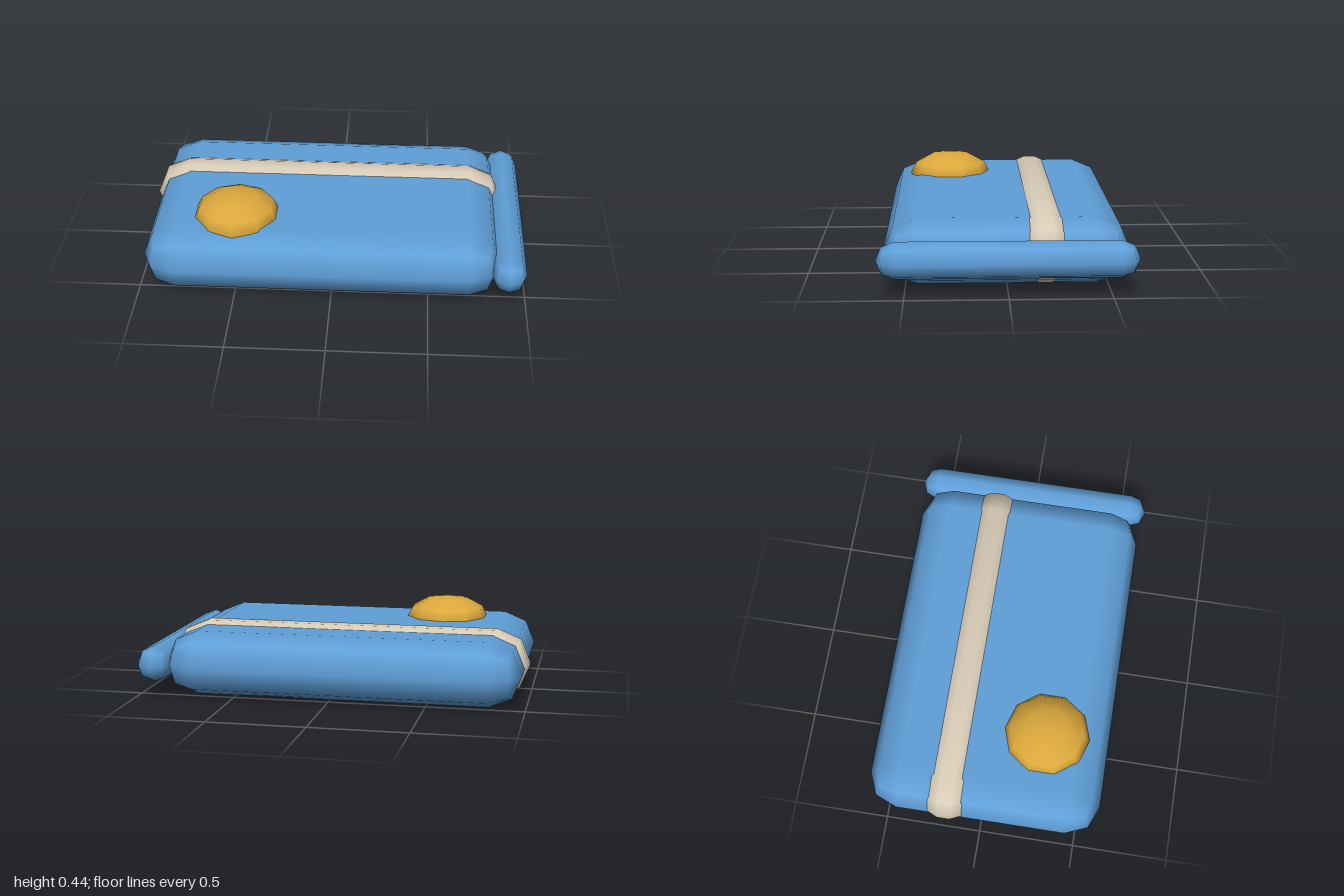
import * as THREE from 'three';
import { toCreasedNormals } from 'three/addons/utils/BufferGeometryUtils.js';
import { RoundedBoxGeometry } from 'three/addons/geometries/RoundedBoxGeometry.js';

function material(name, color) {
  const m = new THREE.MeshStandardMaterial({ color });
  m.name = name;
  return m;
}

// Band outline in x/y: a long bar with two-step rounded ends
function bandOutline(x0, x1, height) {
  const r = height / 2, k = r * Math.SQRT1_2;
  const points = [];
  for (let i = -2; i <= 2; i++) {
    const a = i * Math.PI / 4;
    points.push(new THREE.Vector2(x1 - r + r * Math.cos(a), r + r * Math.sin(a)));
  }
  for (let i = 2; i <= 6; i++) {
    const a = i * Math.PI / 4;
    points.push(new THREE.Vector2(x0 + r + r * Math.cos(a), r + r * Math.sin(a)));
  }
  return new THREE.Shape(points);
}

export function createModel() {
  const blue = material('blue', 0x5f9fd8);
  const cream = material('cream', 0xd9cdb8);
  const gold = material('gold', 0xdba83c);
  const model = new THREE.Group();

  function add(name, geometry, mat, x, y, z) {
    const mesh = new THREE.Mesh(geometry, mat);
    mesh.name = name;
    mesh.position.set(x, y, z);
    model.add(mesh);
    return mesh;
  }

  // Flat cushioned body
  add('body', new RoundedBoxGeometry(1.85, 0.333, 1.22, 1, 0.165), blue, -0.052, 0.1665, 0);

  // Rounded bar along the left end
  add('endBar', new RoundedBoxGeometry(0.18, 0.186, 1.27, 1, 0.09), blue, 0.91, 0.172, 0);

  // Band wrapped lengthwise round the body
  const bevel = 0.08, flat = 0.066;
  const band = new THREE.ExtrudeGeometry(bandOutline(-1, 0.892, 0.348), {
    depth: flat, bevelEnabled: true, bevelSize: bevel, bevelThickness: bevel,
    bevelOffset: -bevel, bevelSegments: 2
  });
  add('band', toCreasedNormals(band, 1), cream, 0, 0.002, -0.19 - flat / 2);

  // Domed button on top
  const dome = new THREE.SphereGeometry(1, 10, 6);
  dome.rotateY(Math.PI / 2);
  dome.scale(0.226, 0.122, 0.226);
  add('button', dome, gold, -0.507, 0.321, 0.28);

  return model;
}
